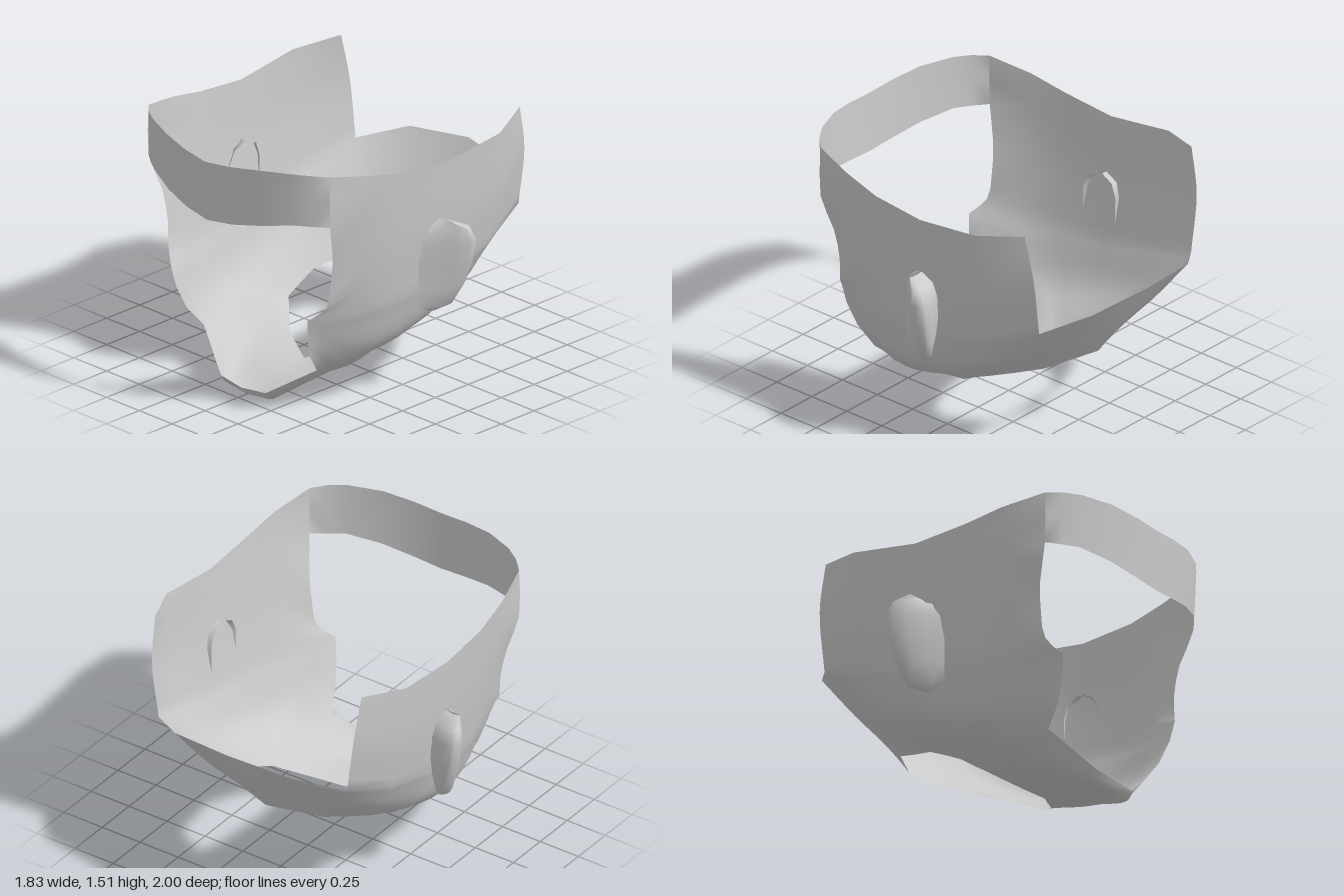
import * as THREE from 'three';
import { mergeGeometries, mergeVertices } from 'three/addons/utils/BufferGeometryUtils.js';

const material = new THREE.MeshStandardMaterial({ color: 0xcccccc, side: THREE.DoubleSide });

// Smooth line through a few points, sampled at n + 1 places
function column(points, n) {
  const v = points.map((p) => new THREE.Vector3(...p));
  if (v.length === 2) return new THREE.LineCurve3(v[0], v[1]).getPoints(n);
  return new THREE.CatmullRomCurve3(v, false, 'centripetal').getPoints(n);
}

// Sheet stretched across neighbouring columns of equal length
function sheet(columns) {
  const rows = columns[0].length;
  const position = columns.flatMap((c) => c.flatMap((p) => [p.x, p.y, p.z]));
  const index = [];
  for (let i = 0; i < columns.length - 1; i++) {
    for (let j = 0; j < rows - 1; j++) {
      const a = i * rows + j, b = a + rows;
      index.push(a, b, b + 1, a, b + 1, a + 1);
    }
  }
  const g = new THREE.BufferGeometry();
  g.setAttribute('position', new THREE.Float32BufferAttribute(position, 3));
  g.setIndex(index);
  return g;
}

// Same columns on the other side, reversed so the winding stays consistent
const mirror = (columns) =>
  columns.map((c) => c.map((p) => new THREE.Vector3(-p.x, p.y, p.z))).reverse();

function weld(parts) {
  const g = mergeVertices(mergeGeometries(parts), 1e-4);
  g.computeVertexNormals();
  return g;
}

function mesh(name, geometry) {
  const m = new THREE.Mesh(geometry, material);
  m.name = name;
  return m;
}

// Jaw, chin and nape: from the rim of the neck hole out to the upper seam
function bowlColumns() {
  return [
    [[0, 0.075, 0.25], [0, 0.06, 0.44], [0, 0, 0.61], [0, 0, 0.69], [0, 0.045, 0.725]],
    [[0.11, 0.1, 0.195], [0.14, 0.065, 0.43], [0.17, 0.015, 0.6], [0.17, 0.015, 0.68], [0.17, 0.06, 0.71]],
    [[0.22, 0.13, 0.14], [0.32, 0.13, 0.37], [0.43, 0.235, 0.58]],
    [[0.26, 0.155, 0.1], [0.43, 0.19, 0.36], [0.47, 0.35, 0.67]],
    [[0.305, 0.18, 0.06], [0.5, 0.25, 0.34], [0.5, 0.48, 0.72]],
    [[0.335, 0.197, 0.03], [0.55, 0.31, 0.33], [0.52, 0.6, 0.74]],
    [[0.36, 0.213, 0.005], [0.58, 0.33, 0.24], [0.63, 0.6, 0.5]],
    [[0.39, 0.23, -0.02], [0.6, 0.36, 0.12], [0.69, 0.62, 0.27]],
    [[0.395, 0.28, -0.12], [0.61, 0.42, -0.1], [0.71, 0.65, -0.05]],
    [[0.4, 0.325, -0.22], [0.59, 0.51, -0.36], [0.7, 0.75, -0.45]],
    [[0.34, 0.37, -0.36], [0.49, 0.61, -0.57], [0.62, 0.86, -0.76]],
    [[0.28, 0.42, -0.5], [0.325, 0.67, -0.73], [0.39, 0.945, -0.94]],
    [[0, 0.465, -0.64], [0, 0.72, -0.82], [0, 0.98, -1]],
  ].map((c) => column(c, 12));
}

// Cheek and temple: from the seam up to the top edge, face opening first
function sideColumns() {
  return [
    [[0.52, 0.6, 0.74], [0.6, 0.68, 0.68], [0.62, 0.82, 0.665], [0.65, 1, 0.68], [0.69, 1.2, 0.74], [0.69, 1.495, 0.74]],
    [[0.63, 0.6, 0.5], [0.7, 1, 0.52], [0.75, 1.45, 0.5]],
    [[0.69, 0.62, 0.27], [0.74, 1, 0.27], [0.775, 1.4, 0.27]],
    [[0.71, 0.65, -0.05], [0.75, 1, -0.05], [0.78, 1.37, -0.05]],
    [[0.7, 0.75, -0.45], [0.76, 1.05, -0.45], [0.79, 1.42, -0.45]],
    [[0.62, 0.86, -0.76], [0.665, 1.2, -0.76], [0.68, 1.46, -0.71]],
  ].map((c) => column(c, 10));
}

// Forehead band, from the centre to the temple: x, bottom y, bottom z, top y, top z
function bandColumns() {
  return [
    [0, 1.11, 0.985, 1.455, 1],
    [0.17, 1.13, 0.97, 1.472, 0.985],
    [0.35, 1.165, 0.93, 1.495, 0.945],
    [0.53, 1.2, 0.855, 1.505, 0.87],
    [0.62, 1.2, 0.795, 1.503, 0.81],
    [0.69, 1.2, 0.74, 1.495, 0.74],
  ].map(([x, y0, z0, y1, z1]) => column([[x, y0, z0], [x, y1, z1]], 2));
}

// Ear: wedge-shaped slices stacked upwards: y, outer x, front z, back z
function earColumns() {
  const mix = THREE.MathUtils.lerp;
  return [
    [0.5, 0.735, 0.01, -0.01],
    [0.54, 0.8, 0.1, -0.11],
    [0.65, 0.85, 0.1, -0.145],
    [0.78, 0.89, 0.1, -0.168],
    [0.92, 0.915, 0.1, -0.172],
    [1.0, 0.9, 0.06, -0.135],
    [1.04, 0.85, -0.02, -0.04],
  ].map(([y, x, front, back]) => column([
    [0.72, y, front],
    [x, y, mix(back, front, 0.25)],
    [x - 0.03, y, back],
    [0.72, y, mix(back, front, 0.15)],
  ], 9));
}

export function createModel() {
  const group = new THREE.Group();
  const bowl = bowlColumns(), side = sideColumns(), band = bandColumns();

  // One welded shell so the shading runs smoothly over the seams
  const halves = [bowl, side, band].flatMap((c) => [sheet(c), sheet(mirror(c))]);
  group.add(mesh('headShell', weld(halves)));

  const ear = earColumns();
  group.add(mesh('leftEar', weld([sheet(ear)])));
  group.add(mesh('rightEar', weld([sheet(mirror(ear))])));
  return group;
}
